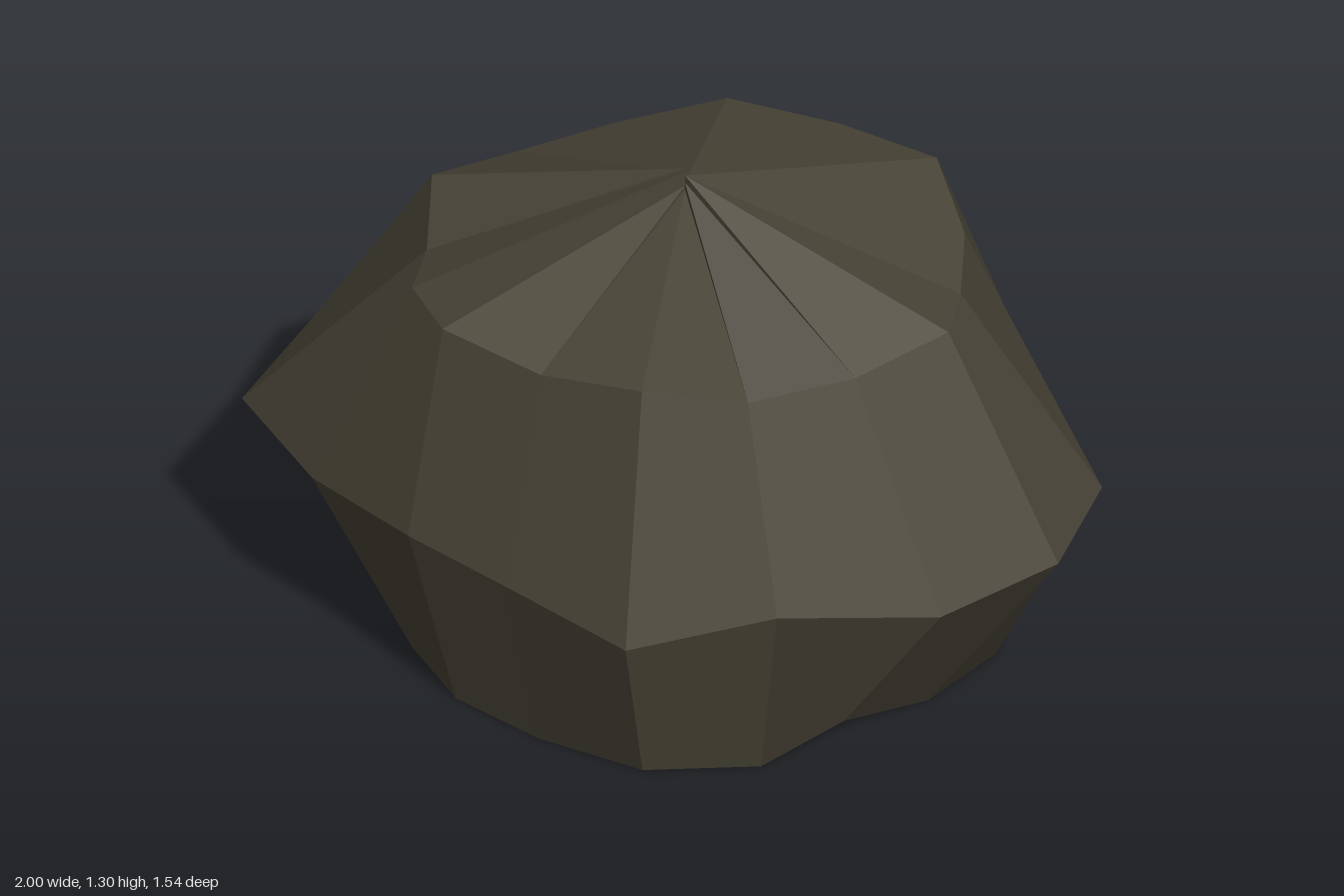
import * as THREE from 'three';

const SIDES = 16;
const CENTRE = { x: 0.03, y: 0.51, z: -0.03 };
const STRETCH = 1.25; // the boulder is wider than it is deep

// Uneven radii of the three rings, starting at +x and turning towards +z
const LOWER = [0.577, 0.52, 0.485, 0.555, 0.573, 0.535, 0.53, 0.52, 0.455, 0.525, 0.53, 0.578, 0.53, 0.49, 0.53, 0.45];
const MIDDLE = [0.776, 0.797, 0.78, 0.671, 0.8, 0.655, 0.64, 0.71, 0.824, 0.805, 0.735, 0.66, 0.715, 0.806, 0.748, 0.7];
const UPPER = [0.513, 0.563, 0.52, 0.46, 0.58, 0.525, 0.56, 0.52, 0.48, 0.54, 0.513, 0.527, 0.57, 0.566, 0.582, 0.533];
// Peak height of each top facet, leaving fine creases around the tip
const PEAK = [1.28, 1.28, 1.26, 1.24, 1.24, 1.25, 1.27, 1.29, 1.3, 1.29, 1.28, 1.26, 1.26, 1.27, 1.28, 1.28];

function ring(radii, rise) {
  return radii.map((r, i) => {
    const a = (i / SIDES) * Math.PI * 2;
    return new THREE.Vector3(
      CENTRE.x + STRETCH * r * Math.cos(a),
      Math.max(0, CENTRE.y + rise * r),
      CENTRE.z + r * Math.sin(a),
    );
  });
}

// Triangles and quads, each with a single normal so that every facet reads as one plane
function facets(faces, material, name) {
  const positions = [], normals = [];
  for (const [a, b, c, d] of faces) {
    const across = (d ?? a).clone().sub(b);
    const normal = c.clone().sub(a).cross(across).normalize();
    for (const p of d ? [a, b, c, a, c, d] : [a, b, c]) {
      positions.push(p.x, p.y, p.z);
      normals.push(normal.x, normal.y, normal.z);
    }
  }
  const geometry = new THREE.BufferGeometry();
  geometry.setAttribute('position', new THREE.Float32BufferAttribute(positions, 3));
  geometry.setAttribute('normal', new THREE.Float32BufferAttribute(normals, 3));
  const mesh = new THREE.Mesh(geometry, material);
  mesh.name = name;
  return mesh;
}

export function createModel() {
  const stone = new THREE.MeshStandardMaterial({ color: 0x4a4538, side: THREE.DoubleSide });
  stone.name = 'dark stone';

  const lower = ring(LOWER, -1);
  const middle = ring(MIDDLE, 0);
  const upper = ring(UPPER, 1);
  const foot = new THREE.Vector3(CENTRE.x, 0, CENTRE.z);
  const tips = PEAK.map((y) => new THREE.Vector3(CENTRE.x, y, CENTRE.z));
  const base = [], sides = [], cap = [];

  for (let i = 0; i < SIDES; i++) {
    const j = (i + 1) % SIDES;
    // Two bands of side facets
    for (const [b, t] of [[lower, middle], [middle, upper]]) {
      sides.push([b[j], b[i], t[i], t[j]]);
    }
    // Underside
    base.push([foot, lower[i], lower[j]]);
    // Pointed top, with a sliver closing the step to the next facet
    cap.push([tips[i], upper[j], upper[i]]);
    if (PEAK[i] !== PEAK[j]) cap.push([tips[i], tips[j], upper[j]]);
  }

  const boulder = new THREE.Group();
  boulder.name = 'boulder';
  boulder.add(
    facets(base, stone, 'underside'),
    facets(sides, stone, 'sides'),
    facets(cap, stone, 'peak'),
  );
  return boulder;
}
